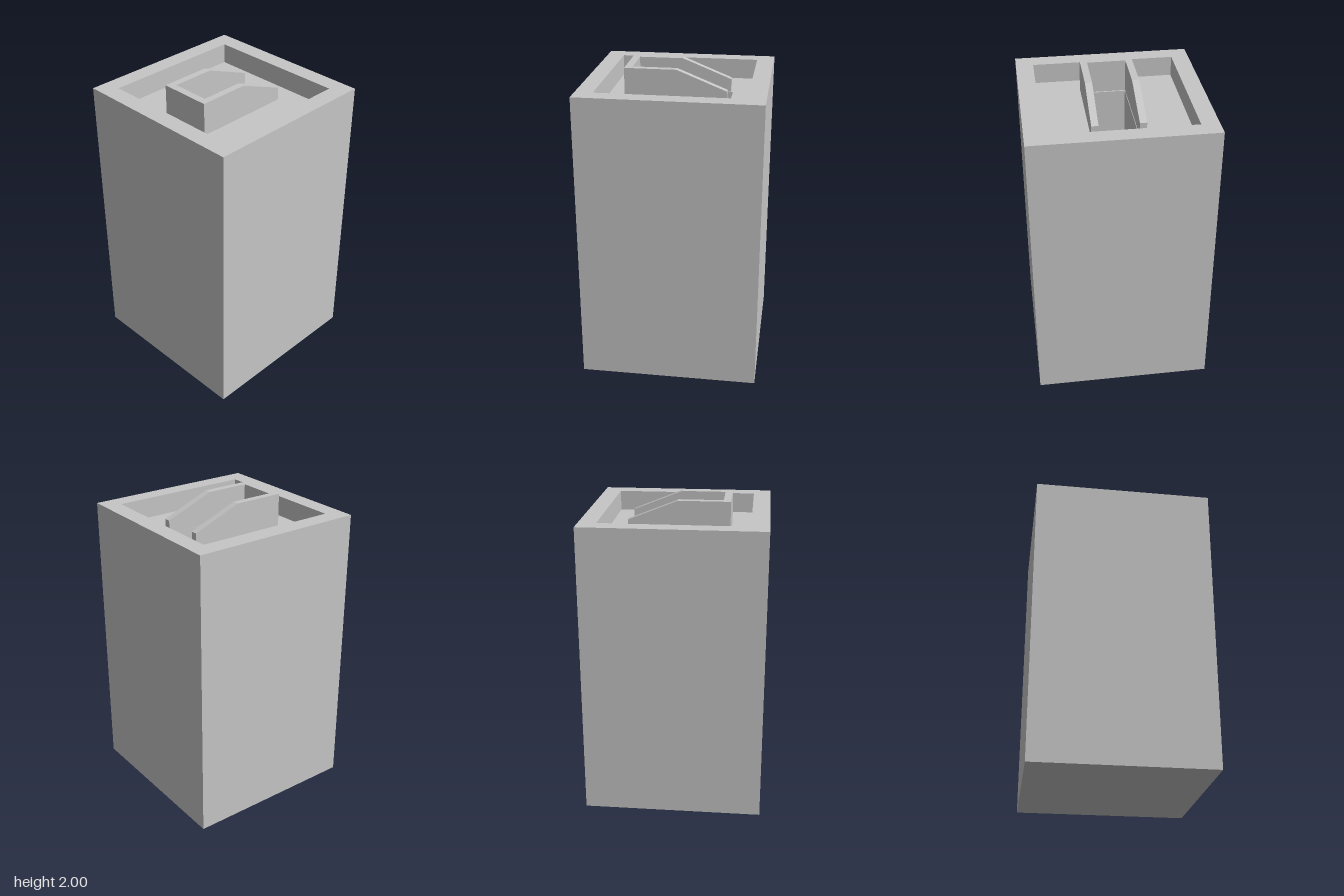
import * as THREE from 'three';

const HEIGHT = 1.92, FLOOR = 1.787, TOP = 2;
const OUTER = { x0: -0.58, x1: 0.58, z0: -0.58, z1: 0.58 };
const INNER = { x0: -0.466, x1: 0.466, z0: -0.466, z1: 0.466 };
const WELL = { x0: -0.122, x1: 0.122, z0: -0.333, z1: 0.275 };
const TREAD_EDGES = [-0.333, -0.275, -0.207, -0.138, -0.07, -0.003, 0.065, 0.133, 0.202, 0.258, 0.275];
const RISE = 0.06;

export function createModel() {
  const model = new THREE.Group();
  const concrete = new THREE.MeshStandardMaterial({ color: 0xc6c6c6 });
  concrete.name = 'concrete grey';

  const add = (name, geometry, parent = model) => {
    const mesh = new THREE.Mesh(geometry, concrete);
    mesh.name = name;
    parent.add(mesh);
    return mesh;
  };
  const corners = (r) => [[r.x0, -r.z1], [r.x1, -r.z1], [r.x1, -r.z0], [r.x0, -r.z0]]
    .map(([x, y]) => new THREE.Vector2(x, y));

  // Level surface, optionally with a rectangular opening
  const deck = (name, rect, y, hole, parent) => {
    const shape = new THREE.Shape(corners(rect));
    if (hole) shape.holes.push(new THREE.Path(corners(hole)));
    const geometry = new THREE.ShapeGeometry(shape);
    geometry.rotateX(-Math.PI / 2);
    geometry.translate(0, y, 0);
    return add(name, geometry, parent);
  };

  // Four upright faces around a rectangle, looking outward or inward
  const walls = (name, r, y0, y1, inward = false) => {
    const group = new THREE.Group();
    group.name = name;
    const w = r.x1 - r.x0, d = r.z1 - r.z0;
    const cx = (r.x0 + r.x1) / 2, cz = (r.z0 + r.z1) / 2;
    for (let i = 0; i < 4; i++) {
      const a = i * Math.PI / 2;
      const g = new THREE.PlaneGeometry(i % 2 ? d : w, y1 - y0);
      g.rotateY(a + (inward ? Math.PI : 0));
      g.translate(cx + Math.sin(a) * w / 2, (y0 + y1) / 2, cz + Math.cos(a) * d / 2);
      add(name + 'Face', g, group);
    }
    model.add(group);
  };

  // Tower block with a parapet around the sunken roof
  walls('towerWalls', OUTER, 0, HEIGHT);
  const base = new THREE.PlaneGeometry(1.16, 1.16);
  base.rotateX(Math.PI / 2);
  add('towerBase', base);
  deck('parapetTop', OUTER, HEIGHT, INNER);
  walls('parapetInside', INNER, FLOOR, HEIGHT, true);
  deck('roofFloor', INNER, FLOOR, WELL);

  // Stairwell, with steps going down toward the front
  const steps = TREAD_EDGES.length - 1;
  walls('stairwell', WELL, FLOOR - RISE * steps, FLOOR, true);
  const stairs = new THREE.Group();
  stairs.name = 'stairs';
  model.add(stairs);
  for (let i = 0; i < steps; i++) {
    const y = FLOOR - RISE * (i + 1);
    deck('tread', { ...WELL, z0: TREAD_EDGES[i], z1: TREAD_EDGES[i + 1] }, y, null, stairs);
    if (i > 0) {
      const riser = new THREE.PlaneGeometry(WELL.x1 - WELL.x0, RISE);
      riser.translate(0, y + RISE / 2, TREAD_EDGES[i]);
      add('riser', riser, stairs);
    }
  }

  // Guard walls: sloped sides and a closed front
  const profile = new THREE.Shape([
    [-0.333, FLOOR], [0.32, FLOOR], [0.32, 1.872], [0, TOP], [-0.333, TOP],
  ].map(([z, y]) => new THREE.Vector2(z, y)));
  for (const [name, x] of [['leftGuardWall', 0.125], ['rightGuardWall', -0.17]]) {
    const side = new THREE.ExtrudeGeometry(profile, { depth: 0.045, bevelEnabled: false });
    side.rotateY(Math.PI / 2);
    // The profile runs front to back, so its first axis becomes -z
    side.translate(x, 0, 0);
    add(name, side);
  }
  const front = new THREE.BoxGeometry(0.25, TOP - FLOOR, 0.048);
  front.translate(0, (TOP + FLOOR) / 2, 0.309);
  add('frontGuardWall', front);

  return model;
}
